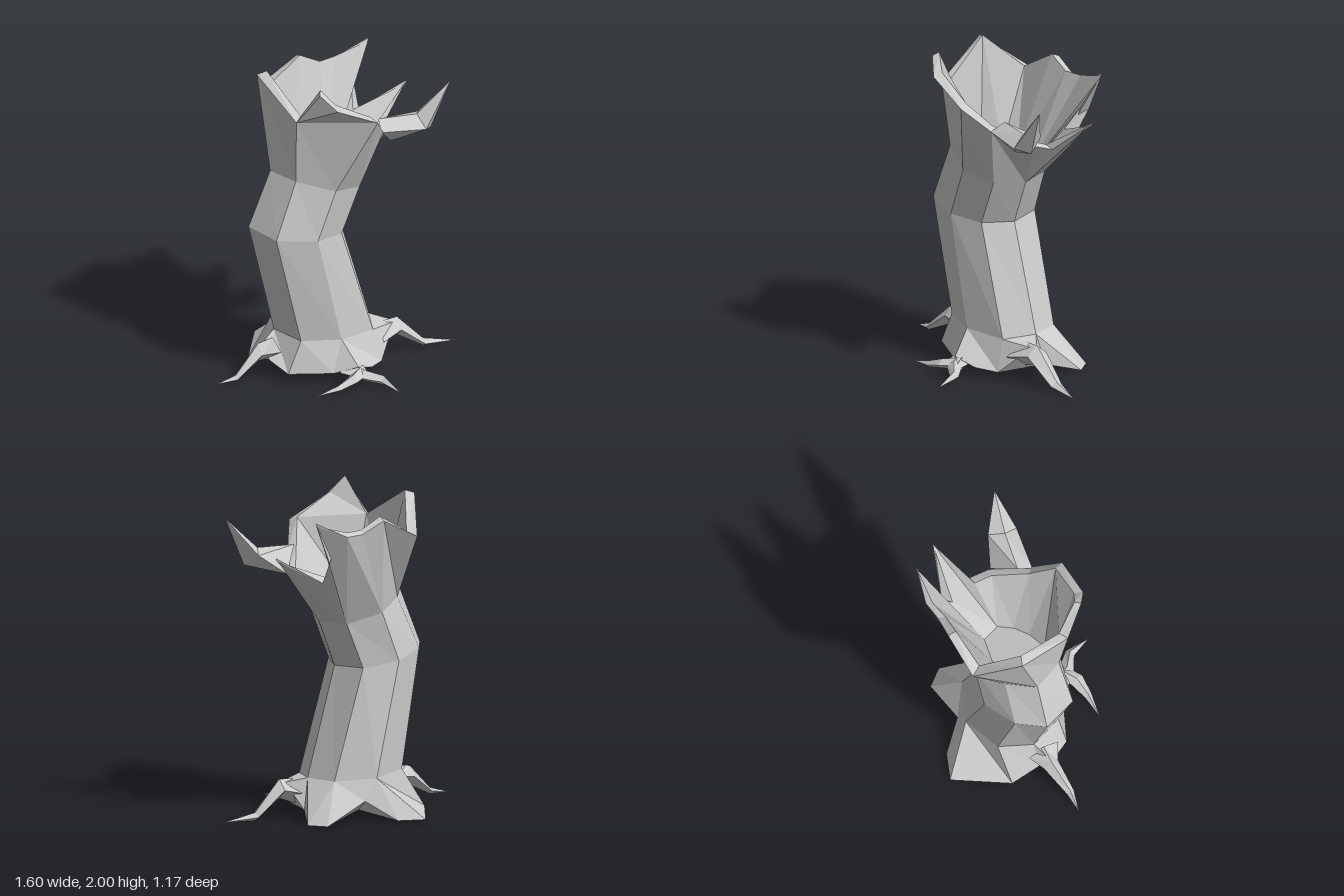
import * as THREE from 'three';

const material = new THREE.MeshStandardMaterial({ color: 0xcccccc, flatShading: true, side: THREE.DoubleSide });

// Skin a list of [ringA, ringB] pairs; repeated points collapse to triangles
function skin(name, bands) {
  const pos = [];
  const tri = (...pts) => {
    const [a, b, c] = pts.map((p) => new THREE.Vector3(...p));
    if (b.sub(a).cross(c.sub(a)).length() > 1e-7) pts.forEach((p) => pos.push(...p));
  };
  for (const [a, b] of bands) {
    for (let i = 0; i < a.length; i++) {
      const j = (i + 1) % a.length;
      tri(a[i], b[i], b[j]);
      tri(a[i], b[j], a[j]);
    }
  }
  const geometry = new THREE.BufferGeometry();
  geometry.setAttribute('position', new THREE.Float32BufferAttribute(pos, 3));
  geometry.computeVertexNormals();
  const mesh = new THREE.Mesh(geometry, material);
  mesh.name = name;
  return mesh;
}

const repeat = (ring, p) => ring.map(() => p);

// Tapered limb with a diamond section; stations are [x, y, z, halfWidth, halfHeight]
function limb(name, stations) {
  const a = stations[0], e = stations[stations.length - 1];
  const len = Math.hypot(e[0] - a[0], e[2] - a[2]);
  const sx = (e[2] - a[2]) / len, sz = -(e[0] - a[0]) / len;
  const rings = stations.map(([x, y, z, w, h]) => [
    [x + sx * w, y, z + sz * w], [x, y - h, z], [x - sx * w, y, z - sz * w], [x, y + h, z],
  ]);
  return skin(name, rings.slice(1).map((r, i) => [rings[i], r]));
}

export function createModel() {
  const group = new THREE.Group();
  group.name = 'hollowStump';

  // Eight-sided trunk rings, from +x round through +z
  const low = [[.27, .25, -.08], [.2, .24, .12], [-.05, .26, .2], [-.29, .27, .13],
    [-.37, .28, -.08], [-.28, .28, -.28], [-.04, .26, -.37], [.2, .25, -.27]];
  const bend = [[.07, .92, -.07], [-.01, .93, .12], [-.21, .95, .2], [-.46, .98, .14],
    [-.54, 1, -.08], [-.43, 1, -.24], [-.22, .96, -.34], [0, .93, -.28]];
  const neck = [[.18, 1.2, -.07], [.11, 1.22, .12], [-.09, 1.26, .2], [-.32, 1.34, .12],
    [-.4, 1.35, -.07], [-.28, 1.33, -.23], [-.1, 1.27, -.34], [.11, 1.21, -.27]];
  // Sloping floor of the hollow
  const floor = [[.1, -.08], [.04, 0], [-.05, .06], [-.17, .1], [-.27, -.08], [-.19, -.18],
    [-.1, -.22], [.06, -.19]].map(([x, z]) => [x, 1.25 - .26 * x, z]);

  // Foot drawn out into root bases, with two stubby lobes at the back: [ring index, x, y, z]
  const foot = [[0, .32, .06, -.12], [0, .38, .22, 0], [1, .38, .22, .04], [1, .23, .05, .18],
    [2, .12, .07, .27], [2, 0, .12, .33], [2, -.13, .07, .25], [3, -.38, .07, .14],
    [4, -.45, .13, .03], [4, -.48, .22, -.03], [4, -.46, .13, -.09], [5, -.45, .03, -.27],
    [6, -.25, .02, -.59], [6, -.09, .02, -.53], [6, .05, .13, -.38], [7, .34, .01, -.41],
    [7, .42, .01, -.31]];
  const footRing = foot.map((p) => p.slice(1));
  // Underside: tucked in beneath the raised root bases
  const sole = footRing.map(([x, y, z]) => (y > .1 ? [x * .75, .06, z * .75] : [x, y, z]));

  // Splintered rim: [ring index, x, y, z, wall thickness]
  const rim = [[0, .38, 1.46, -.12, .12], [0, .36, 1.5, 0, .12], [1, .22, 1.6, .22, .14],
    [2, .11, 1.75, .37, .13], [3, -.16, 1.88, .37, .13], [3, -.25, 1.98, .31, .1],
    [3, -.34, 1.76, .17, .16], [4, -.43, 1.95, -.19, .15], [5, -.28, 1.74, -.45, .16],
    [6, -.02, 1.87, -.48, .12], [6, .13, 1.8, -.47, .1], [7, .25, 1.8, -.49, .08],
    [7, .45, 1.9, -.45, .01], [7, .34, 1.64, -.43, .08], [7, .33, 1.5, -.34, .16],
    [0, .61, 1.67, -.25, .01]];
  const outer = rim.map((p) => p.slice(1, 4));
  const inner = rim.map(([, x, y, z, t]) => [x + (-.05 - x) * t, y + .02 * Math.sign(t - .05), z + (-.06 - z) * t]);
  // The front splinter leans out over a crease that runs straight below it
  const crease = (ring) => ring.map((p, i) => (i === 4 || i === 5 ? ring[6] : p));
  const onRing = (ring) => rim.map((p) => ring[p[0]]);

  group.add(skin('trunk', [[low, bend], [bend, neck], [onRing(neck), crease(outer)],
    [crease(outer), outer]]));
  group.add(skin('rim', [[outer, inner]]));
  group.add(skin('hollow', [[inner, crease(inner)], [crease(inner), onRing(floor)],
    [floor, repeat(floor, [-.08, 1.27, -.07])]]));
  group.add(skin('foot', [[footRing, foot.map((p) => low[p[0]])], [sole, footRing],
    [repeat(sole, [-.05, .05, -.1]), sole]]));

  // Broken branch growing out of the rim and turning up to a point
  const branchBase = [[.36, 1.5, .01], [.32, 1.48, .12], [.21, 1.6, .22], [.23, 1.65, .13]];
  const branchElbow = [[.52, 1.62, .08], [.56, 1.55, .18], [.49, 1.58, .26], [.47, 1.65, .17]];
  group.add(skin('brokenBranch', [[branchBase, branchElbow],
    [branchElbow, repeat(branchElbow, [.68, 1.85, .21])]]));

  // Roots spreading from the foot
  const roots = {
    rightRoot: [[-.4, .19, -.03, .1, .06], [-.5, .17, -.03, .05, .06],
      [-.67, .05, .01, .025, .02], [-.8, .03, 0, 0, 0]],
    leftRoot: [[.27, .15, .02, .12, .08], [.41, .18, .02, .07, .06],
      [.59, .03, .01, .04, .025], [.8, .01, .04, 0, 0]],
    frontRoot: [[-.03, .08, .24, .08, .05], [.03, .07, .36, .05, .035],
      [.12, .05, .43, .03, .03], [.16, .02, .58, 0, 0]],
    frontSideRoot: [[.04, .08, .31, .05, .04], [-.06, .07, .38, .045, .03],
      [-.17, .04, .4, .025, .02], [-.32, .02, .4, 0, 0]],
  };
  for (const [name, stations] of Object.entries(roots)) group.add(limb(name, stations));

  return group;
}
